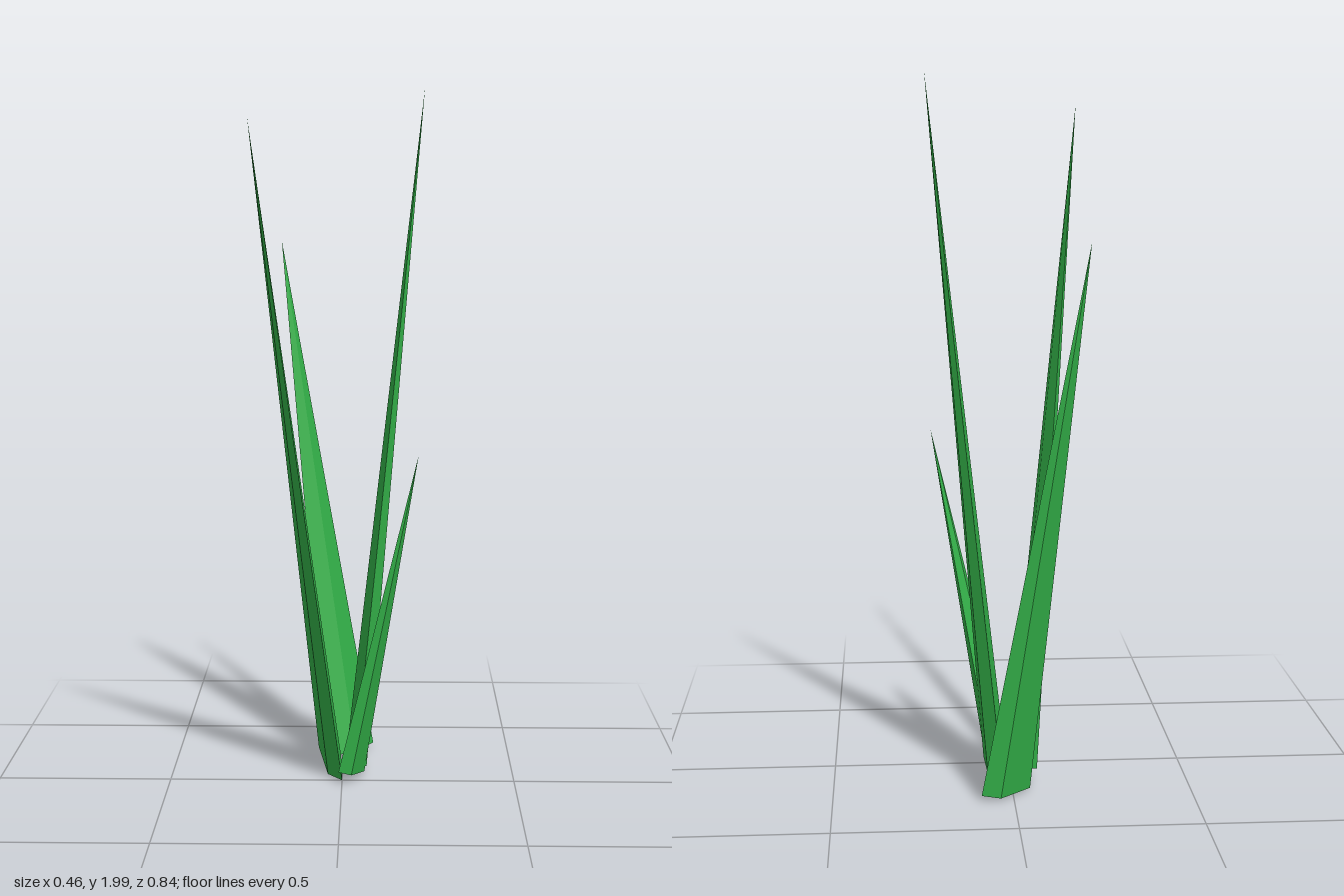
import * as THREE from 'three';

const material = new THREE.MeshStandardMaterial({ color: 0x33b048, flatShading: true });

// A leaning blade: five-sided cone, flattened, spanning two base corners and rising to a tip
function blade(name, tipPos, cornerA, cornerB, thickness) {
  const tip = new THREE.Vector3(...tipPos);
  const a = new THREE.Vector3(...cornerA);
  const b = new THREE.Vector3(...cornerB);
  const base = a.clone().add(b).multiplyScalar(0.5);
  const wide = b.clone().sub(a).multiplyScalar(0.5 / Math.sin(Math.PI * 0.4));
  const ridge = wide.clone().cross(tip.clone().sub(base)).normalize().multiplyScalar(thickness);
  base.addScaledVector(ridge, -Math.cos(Math.PI * 0.4));
  const axis = tip.clone().sub(base);

  const geometry = new THREE.ConeGeometry(1, 1, 5, 1).translate(0, 0.5, 0);
  geometry.applyMatrix4(new THREE.Matrix4().makeBasis(wide, axis, ridge).setPosition(base));
  const mesh = new THREE.Mesh(geometry, material);
  mesh.name = name;
  return mesh;
}

export function createModel() {
  const group = new THREE.Group();
  group.name = 'grassTuft';
  group.add(
    blade('tallBlade', [0.23, 1.99, -0.1], [0.028, 0.04, -0.217], [0.036, 0.04, 0.006], 0.033),
    blade('frontBlade', [-0.232, 1.9, 0.42], [0, 0.005, 0], [-0.05, 0.065, -0.22], 0.03),
    blade('shortBlade', [0.215, 0.98, 0.085], [0.05, 0.025, -0.07], [-0.01, 0.04, 0.032], 0.028),
    blade('backBlade', [-0.19, 1.55, -0.424], [-0.05, 0.015, -0.165], [0.09, 0.02, -0.3], 0.035)
  );
  return group;
}
